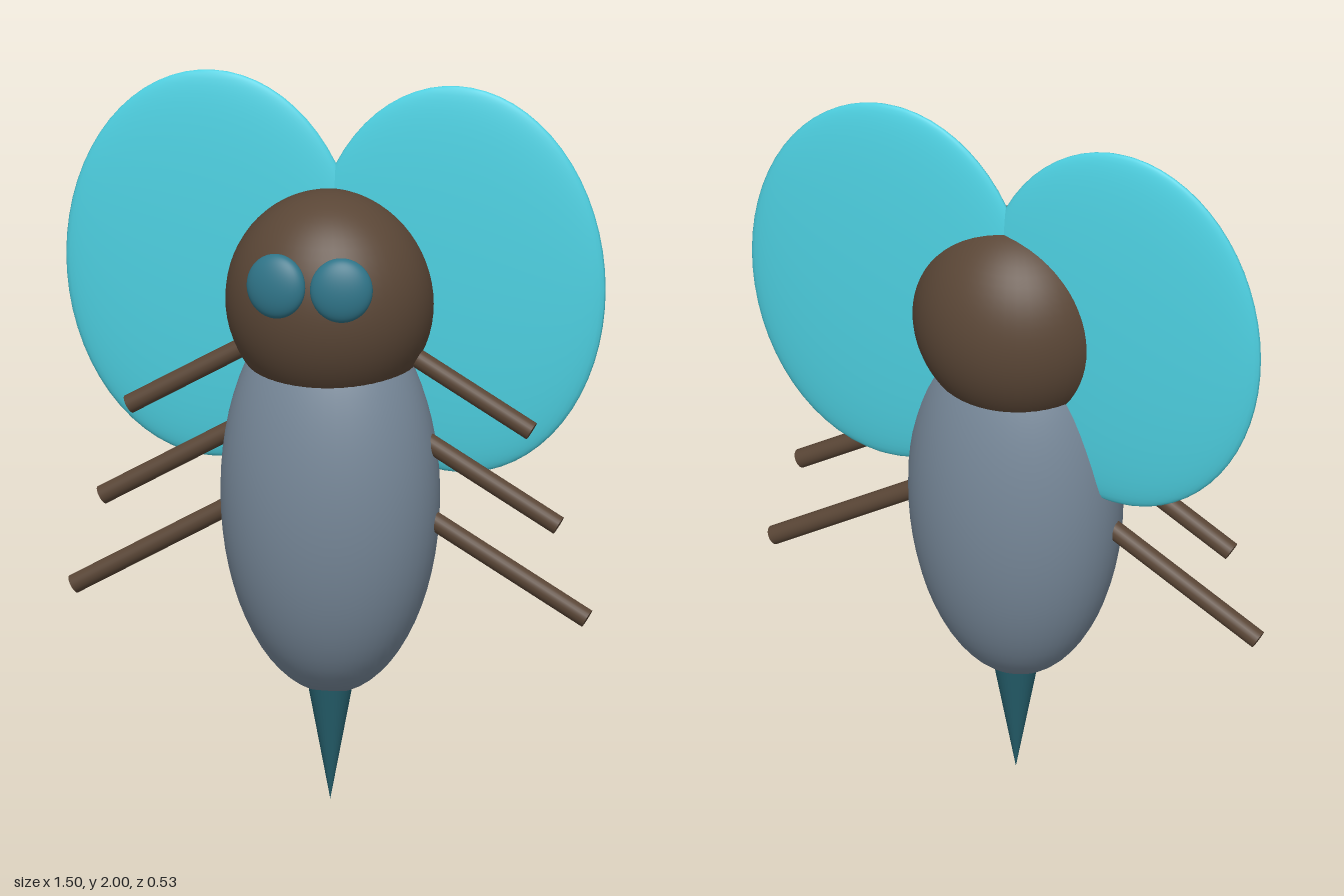
import * as THREE from 'three';

const paint = (color) => new THREE.MeshStandardMaterial({ color });
const brown = paint(0x5a4636);
const slate = paint(0x778899);
const teal = paint(0x2f7488);
const darkTeal = paint(0x255f6c);
const cyan = paint(0x4dd0e1);

const Z = -0.01; // depth of the body axis

function add(parent, name, geometry, material, x, y, z) {
  const mesh = new THREE.Mesh(geometry, material);
  mesh.name = name;
  mesh.position.set(x, y, z);
  parent.add(mesh);
  return mesh;
}

// Smooth ellipsoid with the given half-axes
const ellipsoid = (rx, ry, rz) => new THREE.SphereGeometry(1, 48, 32).scale(rx, ry, rz);

export function createModel() {
  const model = new THREE.Group();
  model.name = 'insect';

  add(model, 'abdomen', ellipsoid(0.3, 0.56, 0.24), slate, 0, 0.86, Z);
  add(model, 'head', ellipsoid(0.285, 0.3, 0.255), brown, 0, 1.4, Z);

  // Stinger: cone pointing down, its base sunk into the abdomen
  const stinger = new THREE.ConeGeometry(0.066, 0.35, 32).rotateX(Math.PI);
  add(model, 'stinger', stinger, darkTeal, 0, 0.175, Z);

  // Outer tips of the three legs on one side
  const legTips = [[0.56, 1.066], [0.635, 0.807], [0.714, 0.552]];
  const legLength = 0.6;
  const slope = Math.PI / 6;

  for (const [side, s] of [['left', 1], ['right', -1]]) {
    add(model, side + 'Wing', ellipsoid(0.41, 0.54, 0.048), cyan, s * 0.34, 1.46, -0.073);

    // Flattened eyes, turned outward and up to follow the head
    const eye = add(model, side + 'Eye', ellipsoid(0.085, 0.088, 0.037), teal, s * 0.091, 1.492, 0.228);
    eye.rotation.set(-0.12, s * 0.17, 0);

    // Legs slope down and outward, starting inside the body
    legTips.forEach(([x, y], i) => {
      const cx = x - Math.cos(slope) * legLength / 2;
      const cy = y + Math.sin(slope) * legLength / 2;
      const geometry = new THREE.CylinderGeometry(0.026, 0.026, legLength, 24);
      const leg = add(model, side + 'Leg' + (i + 1), geometry, brown, s * cx, cy, Z);
      leg.rotation.z = s * (Math.PI / 2 - slope);
    });
  }
  return model;
}
